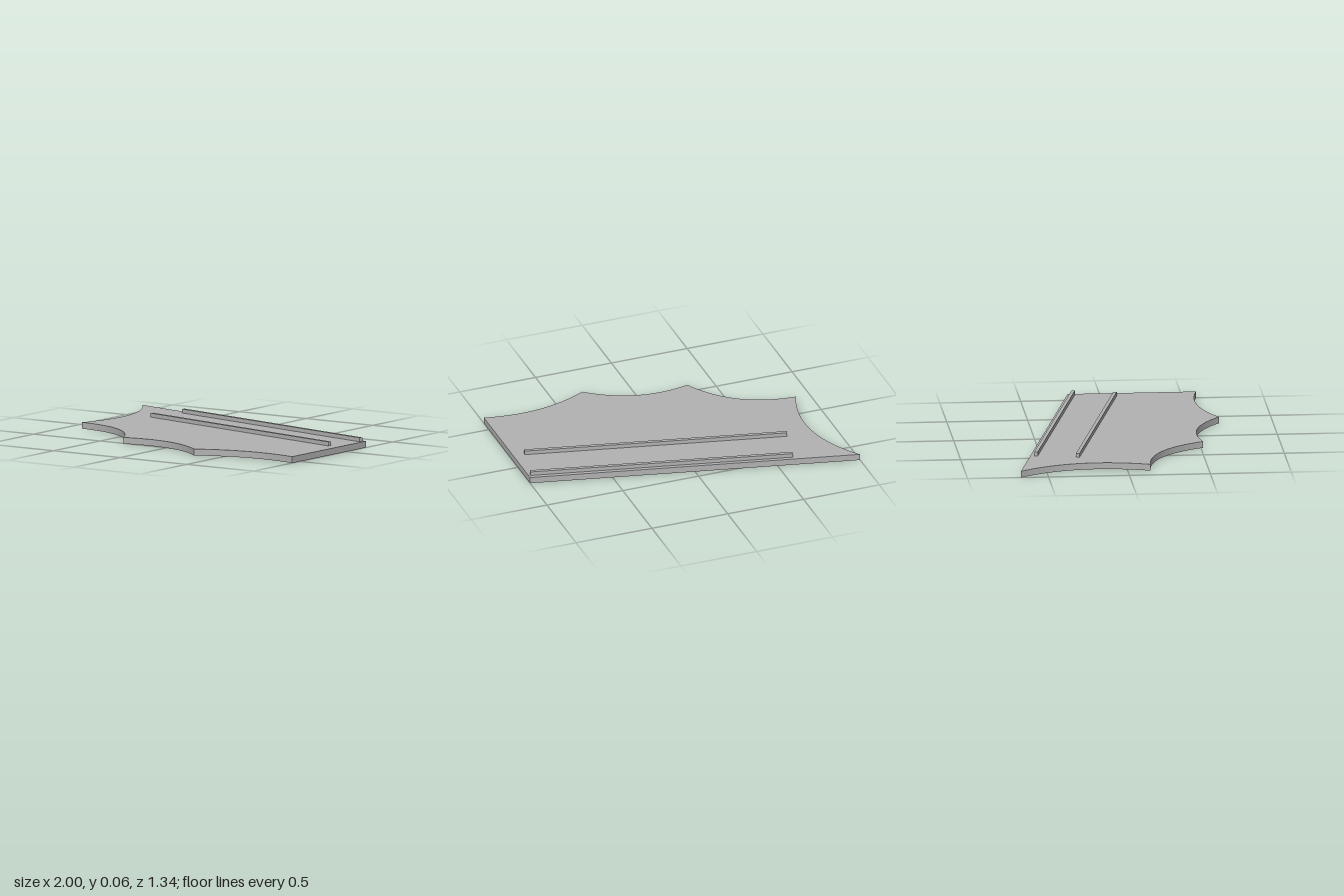
import * as THREE from 'three';

const PLATE = 0.04, RAIL_H = 0.025, RAIL_W = 0.022;

export function createModel() {
  const group = new THREE.Group();
  const grey = new THREE.MeshStandardMaterial({ color: 0xb2b2b2 });
  grey.name = 'grey';

  // Wing plate: straight leading edge and root, scalloped trailing edge (shape y becomes z)
  const outline = new THREE.Shape();
  outline.moveTo(-1, -0.67);
  outline.lineTo(1, -0.21);
  outline.lineTo(1, 0.585);
  const scallops = [
    [0.645, 0.495, 0.32, 0.667],
    [0.04, 0.425, -0.315, 0.515],
    [-0.49, 0.16, -0.887, 0.14],
    [-0.71, -0.297, -1, -0.67],
  ];
  for (const s of scallops) outline.quadraticCurveTo(...s);
  const plateGeo = new THREE.ExtrudeGeometry(outline, { depth: PLATE, bevelEnabled: false, curveSegments: 24 });
  plateGeo.rotateX(Math.PI / 2).translate(0, PLATE, 0);
  const plate = new THREE.Mesh(plateGeo, grey);
  plate.name = 'wingPlate';
  group.add(plate);

  // Raised rails parallel to the leading edge
  const addRail = (name, x0, z0, x1, z1) => {
    const length = Math.hypot(x1 - x0, z1 - z0);
    const rail = new THREE.Mesh(new THREE.BoxGeometry(length, RAIL_H, RAIL_W), grey);
    rail.position.set((x0 + x1) / 2, PLATE + RAIL_H / 2, (z0 + z1) / 2);
    rail.rotation.y = -Math.atan2(z1 - z0, x1 - x0);
    rail.name = name;
    group.add(rail);
  };
  addRail('leadingRail', -0.603, -0.543, 0.987, -0.176);
  addRail('middleRail', -0.663, -0.29, 0.928, 0.077);

  return group;
}
